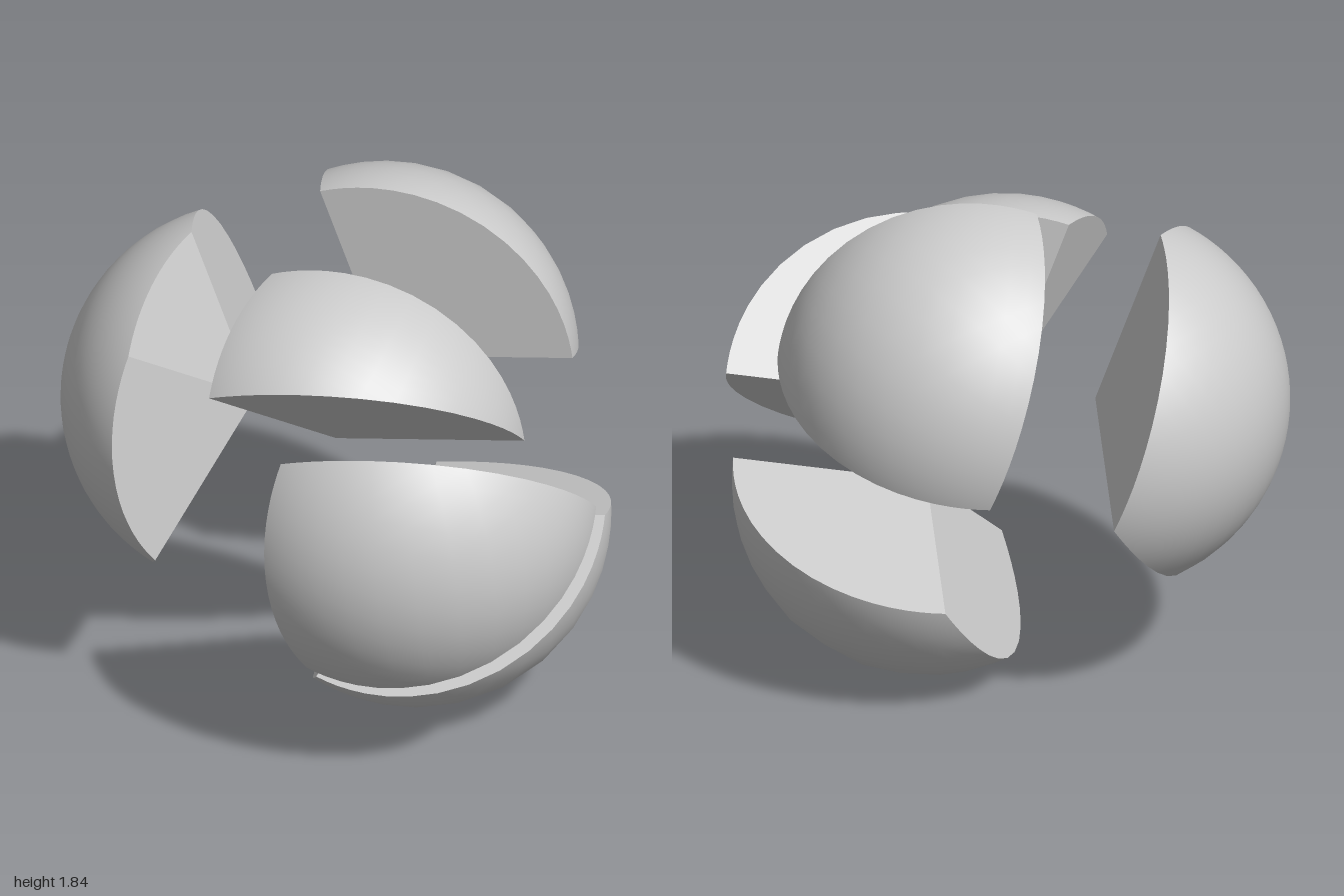
import * as THREE from 'three';

const R = 0.67;   // ball radius
const N = 18;     // subdivisions along each arc
const dir = (x, y, z) => new THREE.Vector3(x, y, z).normalize();

// Directions where the cuts meet the ball: one pole and four corners round the opposite cap
const pole = dir(0.97, 0.12, -0.19);
const corners = [
  dir(-0.22, 0.635, 0.05),
  dir(-0.255, 0.37, 0.50),
  dir(-0.155, -0.425, 0.49),
  dir(-0.2, -0.18, -0.61),
];

// Adds a triangle, with flat normals on cuts and radial normals on the ball surface
function addTriangle(out, a, b, c, curved) {
  const n = b.clone().sub(a).cross(c.clone().sub(a)).normalize();
  for (const p of [a, b, c]) {
    out.pos.push(p.x, p.y, p.z);
    const m = curved ? p.clone().normalize() : n;
    out.nor.push(m.x, m.y, m.z);
  }
}

// Spherical triangle a, b, c, anticlockwise from outside
function addSkin(out, a, b, c) {
  const at = (i, j) => new THREE.Vector3()
    .addScaledVector(a, N - i - j).addScaledVector(b, i).addScaledVector(c, j).setLength(R);
  for (let i = 0; i < N; i++) {
    for (let j = 0; j < N - i; j++) {
      addTriangle(out, at(i, j), at(i + 1, j), at(i, j + 1), true);
      if (i + j < N - 1) addTriangle(out, at(i + 1, j), at(i + 1, j + 1), at(i, j + 1), true);
    }
  }
}

// Flat cut from the ball centre out to the great arc a-b
function addCut(out, a, b) {
  const at = (i) => a.clone().multiplyScalar(N - i).addScaledVector(b, i).setLength(R);
  for (let i = 0; i < N; i++) addTriangle(out, new THREE.Vector3(), at(i + 1), at(i), false);
}

// Solid piece: an outline of directions; hub fans a larger outline into triangles
function makePiece(name, outline, centre, hub) {
  const out = { pos: [], nor: [] };
  const loop = outline.slice();
  const mid = loop.reduce((s, p) => s.add(p), new THREE.Vector3());
  const turn = loop[1].clone().sub(loop[0]).cross(loop[2].clone().sub(loop[0]));
  if (turn.dot(hub || mid) < 0) loop.reverse();
  loop.forEach((p, i) => {
    const q = loop[(i + 1) % loop.length];
    addCut(out, p, q);
    if (hub) addSkin(out, hub, p, q);
  });
  if (!hub) addSkin(out, ...loop);

  const geo = new THREE.BufferGeometry();
  geo.setAttribute('position', new THREE.Float32BufferAttribute(out.pos, 3));
  geo.setAttribute('normal', new THREE.Float32BufferAttribute(out.nor, 3));
  const mesh = new THREE.Mesh(geo, new THREE.MeshStandardMaterial({ color: 0xcccccc }));
  mesh.name = name;
  mesh.position.set(...centre);
  return mesh;
}

export function createModel() {
  const group = new THREE.Group();
  group.name = 'explodedBall';
  const [top, front, bottom, back] = corners;

  // Four wedges sharing the pole, each pushed outward
  group.add(makePiece('topBackWedge', [pole, back, top], [0.06, 1.17, -0.2]));
  group.add(makePiece('topFrontWedge', [pole, top, front], [0.01, 0.985, 0.09]));
  group.add(makePiece('frontWedge', [pole, front, bottom], [0.33, 0.86, 0.2]));
  group.add(makePiece('bottomWedge', [pole, bottom, back], [0.25, 0.67, -0.05]));

  // Four-sided cap opposite the pole
  group.add(makePiece('sideCap', corners, [-0.33, 1.025, 0.01], pole.clone().negate()));
  return group;
}
